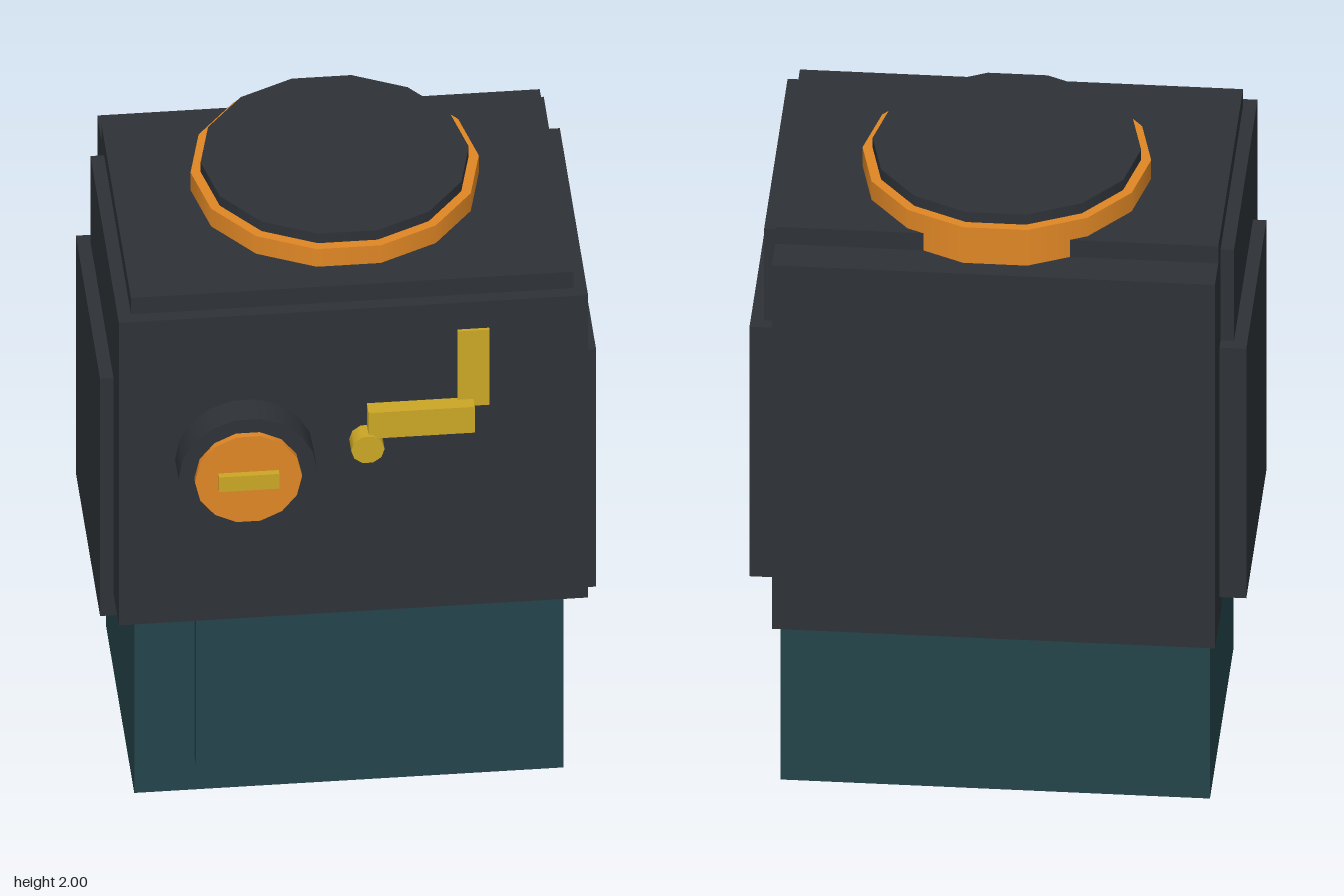
import * as THREE from 'three';

const material = (color) => new THREE.MeshStandardMaterial({ color });

export function createModel() {
  const model = new THREE.Group();
  const dark = material(0x2e3237);
  const teal = material(0x24444a);
  const orange = material(0xe08725);
  const yellow = material(0xcca726);

  // Box given by its extents on each axis
  function box(name, mat, [x0, x1], [y0, y1], [z0, z1], parent = model) {
    const mesh = new THREE.Mesh(new THREE.BoxGeometry(x1 - x0, y1 - y0, z1 - z0), mat);
    mesh.name = name;
    mesh.position.set((x0 + x1) / 2, (y0 + y1) / 2, (z0 + z1) / 2);
    parent.add(mesh);
    return mesh;
  }

  // Upright disc with a corner on the x axis
  function disc(name, mat, radius, y0, y1, sides, parent) {
    const geometry = new THREE.CylinderGeometry(radius, radius, y1 - y0, sides);
    geometry.rotateY(Math.PI / 2);
    const mesh = new THREE.Mesh(geometry, mat);
    mesh.name = name;
    mesh.position.y = (y0 + y1) / 2;
    parent.add(mesh);
    return mesh;
  }

  // Group whose discs stack out from the front face
  function frontMount(name, x, y) {
    const group = new THREE.Group();
    group.name = name;
    group.position.set(x, y, 0.45);
    group.rotation.x = Math.PI / 2;
    model.add(group);
    return group;
  }

  // Pedestal with a raised front panel
  box('pedestal', teal, [-0.64, 0.64], [0, 0.8], [-0.53, 0.31]);
  box('pedestalPanel', teal, [-0.46, 0.46], [0.12, 0.78], [0.25, 0.355]);

  // Layered casing
  box('casingCore', dark, [-0.66, 0.66], [0.75, 1.9], [-0.47, 0.41]);
  box('frontCasing', dark, [-0.7, 0.7], [0.725, 1.84], [-0.39, 0.45]);
  box('backCasing', dark, [-0.66, 0.66], [0.565, 1.84], [-0.59, -0.35]);
  for (const side of [-1, 1]) {
    const x = side > 0 ? [0.63, 0.74] : [-0.74, -0.63];
    box(side > 0 ? 'leftSidePanel' : 'rightSidePanel', dark, x, [0.645, 1.52], [-0.43, 0.29]);
  }

  // Round lid inside its collar
  const lid = new THREE.Group();
  lid.name = 'lid';
  lid.position.z = -0.11;
  model.add(lid);
  disc('lidCollar', orange, 0.43, 1.84, 1.965, 14, lid);
  disc('lidCap', dark, 0.4, 1.88, 2, 14, lid);

  // Front knob with a grip bar
  const knob = frontMount('knob', -0.325, 1.325);
  disc('knobBase', dark, 0.207, -0.02, 0.1, 18, knob);
  disc('knobFace', orange, 0.16, 0.08, 0.12, 14, knob);
  box('knobGrip', yellow, [-0.09, 0.09], [0.1, 0.14], [-0.027, 0.027], knob);

  // Cranked lever: pivot, arm and upright handle
  const pivot = frontMount('leverPivot', 0.037, 1.362);
  disc('pivotPin', yellow, 0.05, -0.02, 0.06, 10, pivot);
  box('leverArm', yellow, [0.04, 0.357], [1.395, 1.49], [0.43, 0.5]);
  box('leverHandle', yellow, [0.31, 0.405], [1.465, 1.742], [0.42, 0.46]);

  return model;
}
